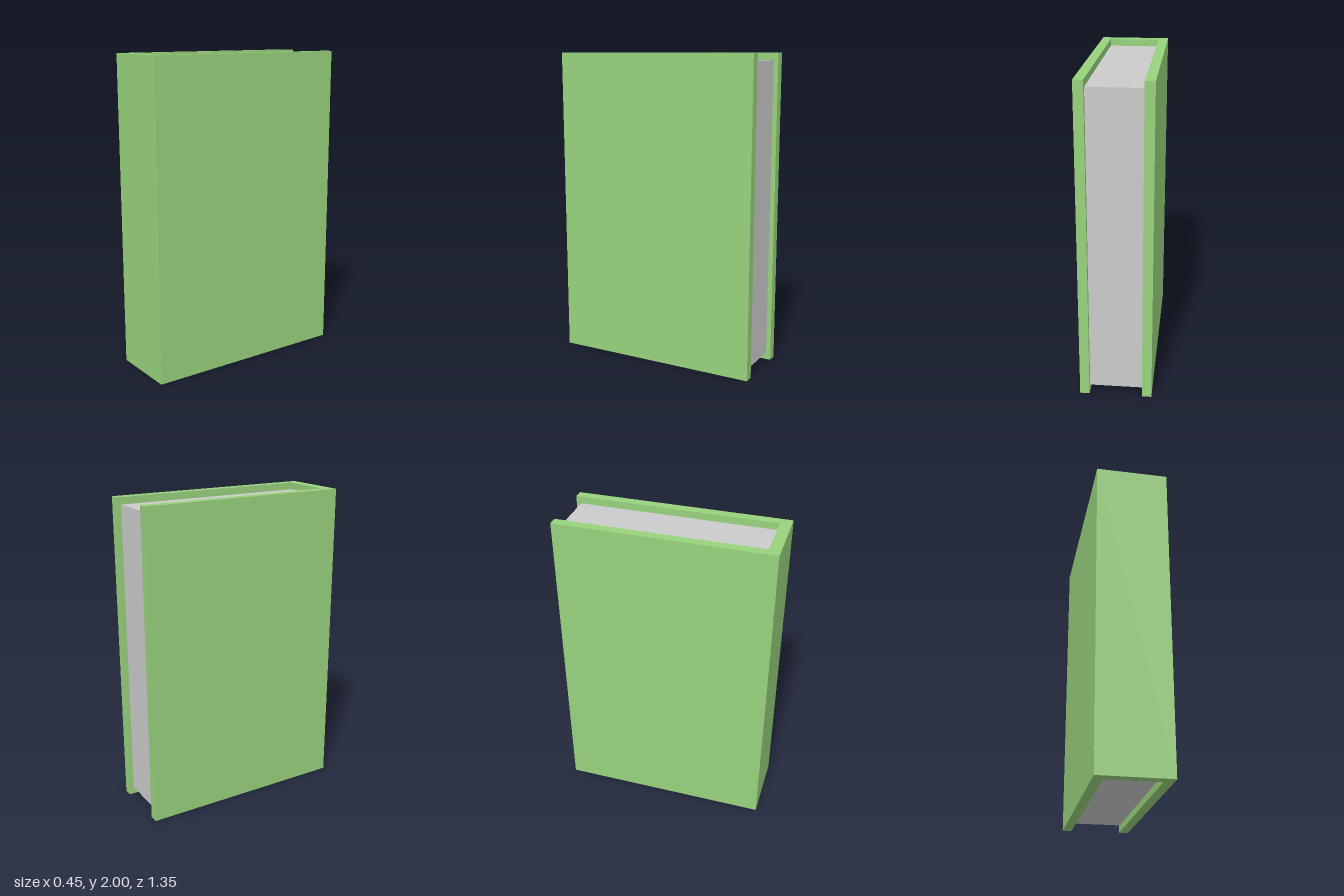
import * as THREE from 'three';

export function createModel() {
  const book = new THREE.Group();
  book.name = 'book';

  const W = 0.225, D = 0.675, H = 2; // half width, half depth, height
  const board = 0.06, spine = 0.07;  // cover thicknesses
  const inset = 0.045;               // pages set in at top and bottom
  const foreEdge = -0.645;           // back of the pages

  const green = new THREE.MeshStandardMaterial({ color: 0x98d27c });
  const grey = new THREE.MeshStandardMaterial({ color: 0xcccccc });

  // Cover: U-shaped outline (x, -z) with the spine at the front, extruded upwards
  const outline = [
    [-W, -D], [W, -D], [W, D], [W - board, D],
    [W - board, -D + spine], [-W + board, -D + spine], [-W + board, D], [-W, D],
  ].map(([x, y]) => new THREE.Vector2(x, y));
  const coverGeometry = new THREE.ExtrudeGeometry(new THREE.Shape(outline), { depth: H, bevelEnabled: false });
  coverGeometry.rotateX(-Math.PI / 2);
  const cover = new THREE.Mesh(coverGeometry, green);
  cover.name = 'cover';
  book.add(cover);

  // Page block between the boards
  const front = D - spine;
  const pages = new THREE.Mesh(
    new THREE.BoxGeometry(2 * (W - board), H - 2 * inset, front - foreEdge), grey);
  pages.position.set(0, H / 2, (front + foreEdge) / 2);
  pages.name = 'pages';
  book.add(pages);

  return book;
}
